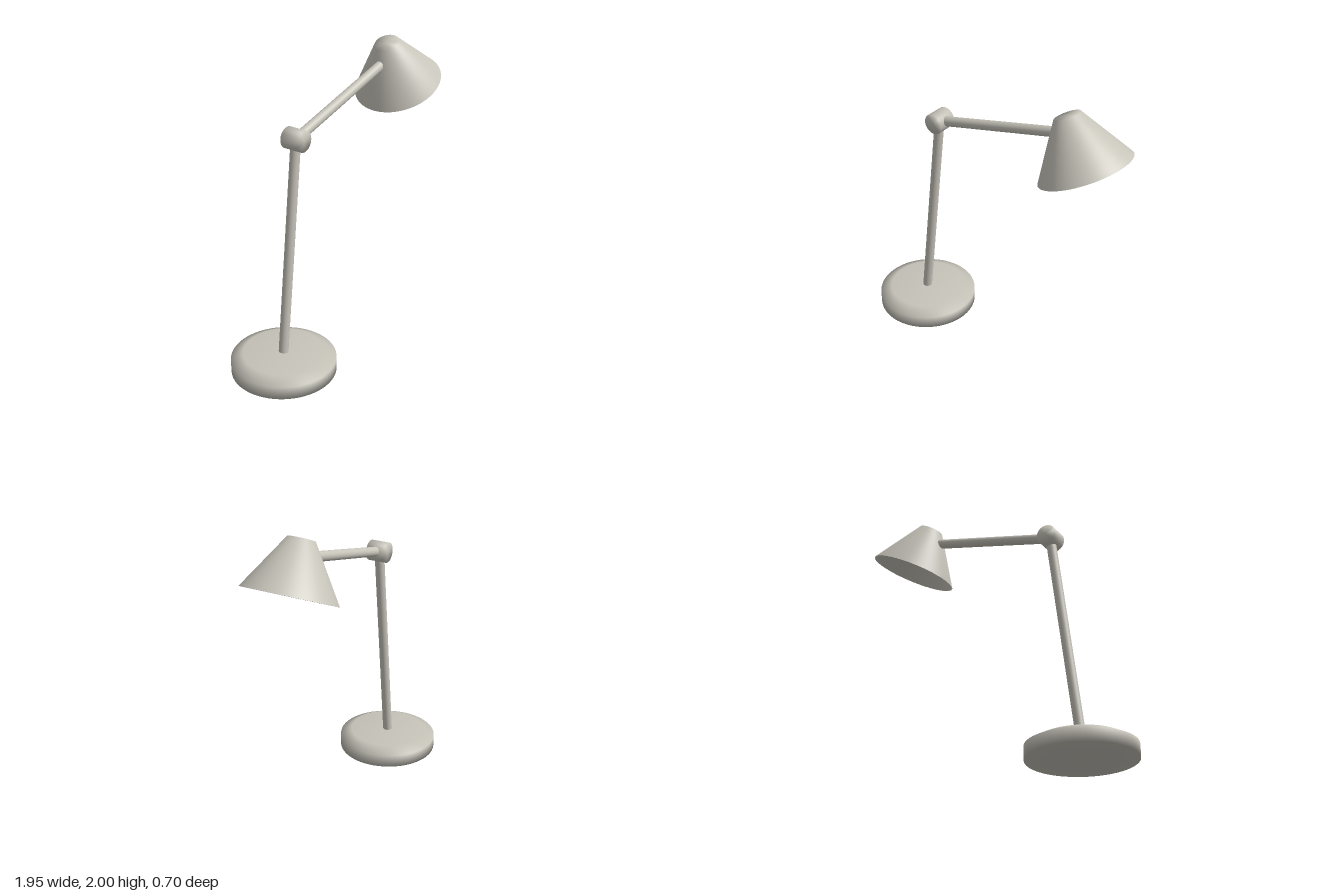
import * as THREE from 'three';

export function createModel() {
  const model = new THREE.Group();
  const paint = new THREE.MeshStandardMaterial({ color: 0xc6c3b9 });
  paint.name = 'warm grey paint';

  const add = (name, geometry) => {
    const mesh = new THREE.Mesh(geometry, paint);
    mesh.name = name;
    model.add(mesh);
    return mesh;
  };
  // Turned part from a [radius, height] profile
  const turned = (name, profile, segments = 48) =>
    add(name, new THREE.LatheGeometry(profile.map(([r, y]) => new THREE.Vector2(r, y)), segments));
  // Round rod between two points in the z = 0 plane
  const rod = (name, [x1, y1], [x2, y2], radius) => {
    const dx = x2 - x1, dy = y2 - y1;
    const mesh = add(name, new THREE.CylinderGeometry(radius, radius, Math.hypot(dx, dy), 24));
    mesh.position.set((x1 + x2) / 2, (y1 + y2) / 2, 0);
    mesh.rotation.z = Math.atan2(-dx, dy);
  };

  // Weighted foot with a sloping shoulder
  turned('base', [[0, 0], [0.352, 0], [0.352, 0.09], [0.27, 0.13], [0, 0.13]], 64)
    .position.x = -0.623;

  // Two arms meeting at a short horizontal barrel
  const elbow = [-0.449, 1.59];
  rod('lowerArm', [-0.624, 0.13], elbow, 0.033);
  rod('upperArm', elbow, [0.62, 1.862], 0.033);
  const joint = turned('elbowJoint', [[0, -0.066], [0.07, -0.066], [0.07, 0.066], [0, 0.066]], 32);
  joint.position.set(elbow[0], elbow[1], 0);
  joint.rotation.x = Math.PI / 2;

  // Tilted hollow shade: outer skin, then inner skin a wall thickness inside
  const shade = new THREE.Group();
  shade.name = 'shade';
  shade.position.set(0.693, 1.645, 0);
  shade.rotation.z = Math.atan2(0.26, 0.555);
  shade.add(
    turned('shadeOuter', [[0.299, 0], [0.306, 0], [0.086, 0.35], [0, 0.35]], 64),
    turned('shadeInner', [[0, 0.342], [0.08, 0.342], [0.299, 0]], 64),
  );
  model.add(shade);

  return model;
}
